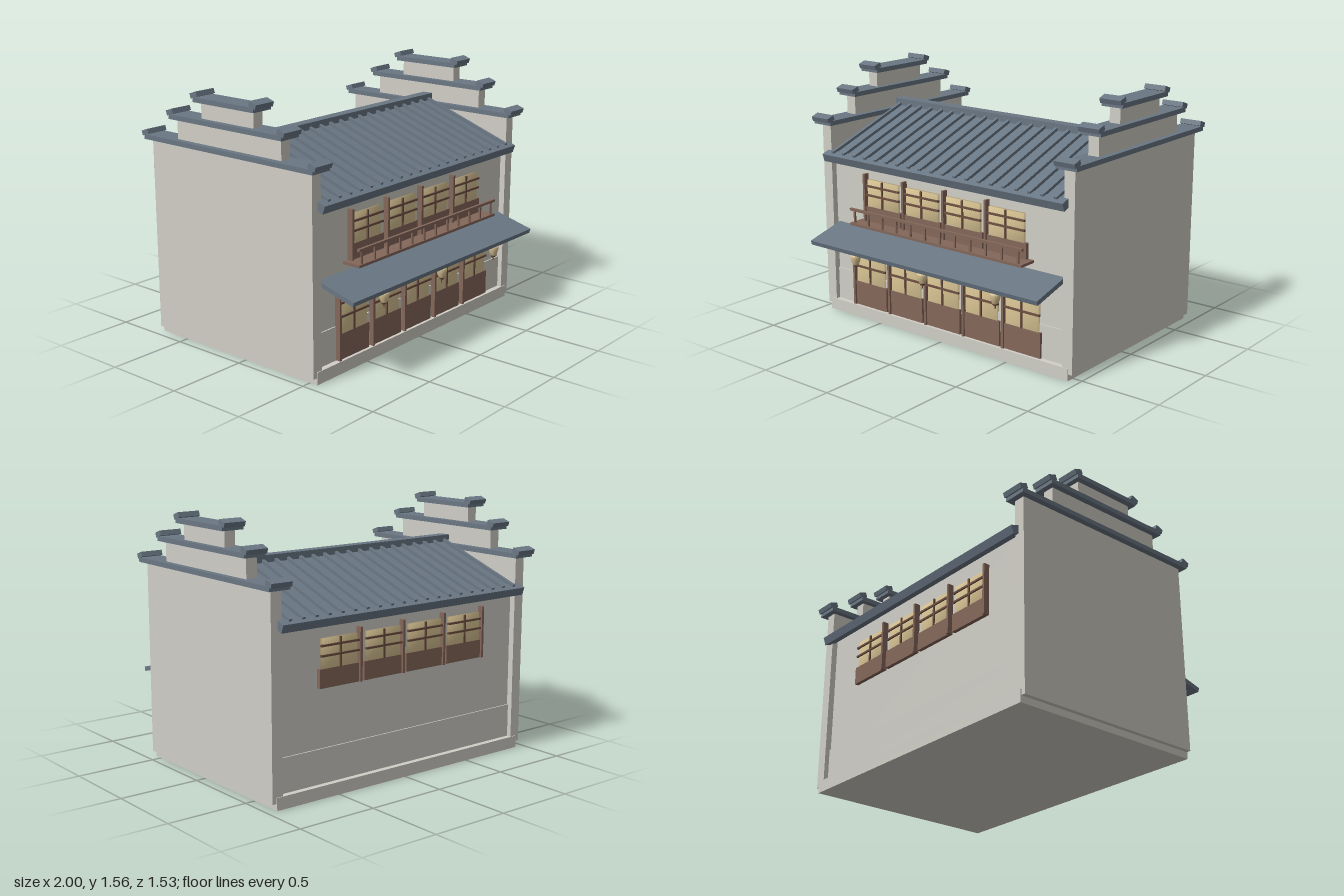
import * as THREE from 'three';
import { mergeVertices } from 'three/addons/utils/BufferGeometryUtils.js';

const mat = (name, color) => Object.assign(new THREE.MeshStandardMaterial({ color }), { name });

export function createModel() {
  const plaster = mat('plaster', 0xd0cec6);
  const tile = mat('roofTile', 0x6a7784);
  const wood = mat('wood', 0x84675a);
  const darkWood = mat('darkWood', 0x6e5042);
  const paper = mat('paper', 0xdcc796);

  const model = new THREE.Group();
  model.name = 'townhouse';
  // the house is centred a little behind the origin, balancing the front canopy
  const house = new THREE.Group();
  house.name = 'house';
  house.position.z = -0.078;
  model.add(house);

  const add = (parent, name, geo, material, x, y, z) => {
    const m = new THREE.Mesh(geo, material);
    m.name = name;
    m.position.set(x, y, z);
    parent.add(m);
    return m;
  };
  const box = (parent, name, material, w, h, d, x, y, z) =>
    add(parent, name, new THREE.BoxGeometry(w, h, d), material, x, y, z);
  // box whose corner normals are shared, for softly shaded paper
  const softBox = (w, h, d) => {
    let g = new THREE.BoxGeometry(w, h, d);
    g.deleteAttribute('normal');
    g.deleteAttribute('uv');
    g = mergeVertices(g);
    g.computeVertexNormals();
    return g;
  };

  // base and walls
  box(house, 'base', plaster, 1.875, 0.075, 1.265, 0, 0.0375, 0);
  box(house, 'mainWall', plaster, 1.8, 0.98, 1.18, 0, 0.55, 0);
  box(house, 'plinth', plaster, 1.8, 0.24, 1.196, 0, 0.16, 0);

  // stepped gable walls with tiled caps: [wall bottom, wall top, wall half depth, cap half depth]
  const tiers = [
    [0.04, 1.22, 0.6275, 0.6625],
    [1.25, 1.37, 0.4085, 0.4425],
    [1.395, 1.495, 0.205, 0.2375],
  ];
  for (const sx of [-1, 1]) {
    const gable = new THREE.Group();
    gable.name = sx > 0 ? 'leftGable' : 'rightGable';
    gable.position.x = sx * 0.93;
    house.add(gable);
    for (const [y0, y1, wallHalf, capHalf] of tiers) {
      box(gable, 'gableWall', plaster, 0.07, y1 - y0, wallHalf * 2, 0, (y0 + y1) / 2, 0);
      box(gable, 'gableCap', tile, 0.14, 0.029, capHalf * 2, 0, y1 + 0.0145, 0);
      for (const sz of [-1, 1]) {
        const end = box(gable, 'capEnd', tile, 0.14, 0.03, 0.054, 0, y1 + 0.041, sz * (capHalf - 0.007));
        end.rotation.x = sz * 0.33;
      }
    }
  }

  // main roof: two mirrored slopes with ribs and an eave
  for (const sz of [1, -1]) {
    const turn = new THREE.Group();
    turn.name = sz > 0 ? 'frontRoof' : 'backRoof';
    turn.position.y = 1.27;
    turn.rotation.y = sz > 0 ? 0 : Math.PI;
    house.add(turn);
    const slope = new THREE.Group();
    slope.name = 'slope';
    slope.rotation.x = 0.337;
    turn.add(slope);
    box(slope, 'roofSlab', tile, 1.79, 0.03, 0.7, 0, -0.015, 0.35);
    box(slope, 'eave', tile, 1.845, 0.05, 0.06, 0, -0.02, 0.689);
    for (let i = 0; i < 20; i++)
      box(slope, 'roofRib', tile, 0.02, 0.024, 0.67, -0.855 + i * 0.09, 0.006, 0.355);
  }
  box(house, 'ridge', tile, 1.79, 0.05, 0.07, 0, 1.276, 0);

  // window bay: panel, paper screen, lattice and a post at one side
  const bay = (x, y0, yMid, yTop, postTop, panelW, paperW, sz) => {
    const g = new THREE.Group();
    g.name = 'windowBay';
    g.position.x = x;
    house.add(g);
    const h = yTop - yMid;
    box(g, 'lowerPanel', wood, panelW, yMid - y0, 0.03, 0, (y0 + yMid) / 2, sz * 0.599);
    add(g, 'paperScreen', softBox(paperW, h, 0.03), paper, 0, yMid + h / 2, sz * 0.595);
    box(g, 'verticalBar', darkWood, 0.012, h, 0.012, 0, yMid + h / 2, sz * 0.612);
    for (const f of [0.43, 0.77])
      box(g, 'crossBar', darkWood, paperW + 0.025, 0.012, 0.014, 0, yMid + h * f, sz * 0.612);
    box(g, 'post', wood, 0.016, postTop - y0, 0.04, -panelW / 2 + 0.005, (y0 + postTop) / 2, sz * 0.606);
  };
  for (let i = 0; i < 5; i++) {
    const x = -0.6 + i * 0.299;
    bay(x, 0.075, 0.23, 0.47, 0.52, 0.272, 0.235, 1);
    box(house, 'canopyBracket', wood, 0.03, 0.034, 0.13, x - 0.13, 0.507, 0.668);
  }
  for (const sz of [1, -1])
    for (let i = 0; i < 4; i++)
      bay(-0.48 + i * 0.32, 0.63, 0.74, 0.91, 0.945, 0.295, 0.25, sz);

  // front canopy
  const canopy = box(house, 'canopy', tile, 1.76, 0.028, 0.265, 0, 0.542, 0.714);
  canopy.rotation.x = 0.265;

  // balcony
  const balcony = new THREE.Group();
  balcony.name = 'balcony';
  house.add(balcony);
  box(balcony, 'balconyFloor', wood, 1.335, 0.016, 0.12, 0, 0.638, 0.648);
  box(balcony, 'handrail', wood, 1.335, 0.015, 0.018, 0, 0.731, 0.699);
  for (let i = 0; i < 12; i++)
    box(balcony, 'baluster', wood, 0.012, 0.085, 0.01, -0.635 + i * 0.1155, 0.685, 0.697);

  // lanterns hanging from the canopy
  const profile = [
    [0, 0.415], [0.016, 0.415], [0.021, 0.425], [0.028, 0.445],
    [0.033, 0.468], [0.031, 0.48], [0.02, 0.487], [0, 0.487],
  ].map(([r, y]) => new THREE.Vector2(r, y));
  const lanternGeo = new THREE.LatheGeometry(profile, 12);
  for (const x of [-0.548, 0, 0.546]) {
    const lantern = new THREE.Group();
    lantern.name = 'lantern';
    lantern.position.set(x, 0, 0.788);
    house.add(lantern);
    add(lantern, 'lanternBody', lanternGeo, paper, 0, 0, 0);
    add(lantern, 'lanternCap', new THREE.CylinderGeometry(0.02, 0.026, 0.01, 12), darkWood, 0, 0.489, 0);
    add(lantern, 'lanternFoot', new THREE.CylinderGeometry(0.017, 0.013, 0.01, 12), darkWood, 0, 0.412, 0);
    add(lantern, 'tassel', new THREE.CylinderGeometry(0.005, 0.003, 0.024, 6), darkWood, 0, 0.397, 0);
    add(lantern, 'hanger', new THREE.CylinderGeometry(0.003, 0.003, 0.03, 6), darkWood, 0, 0.505, 0);
  }
  return model;
}
